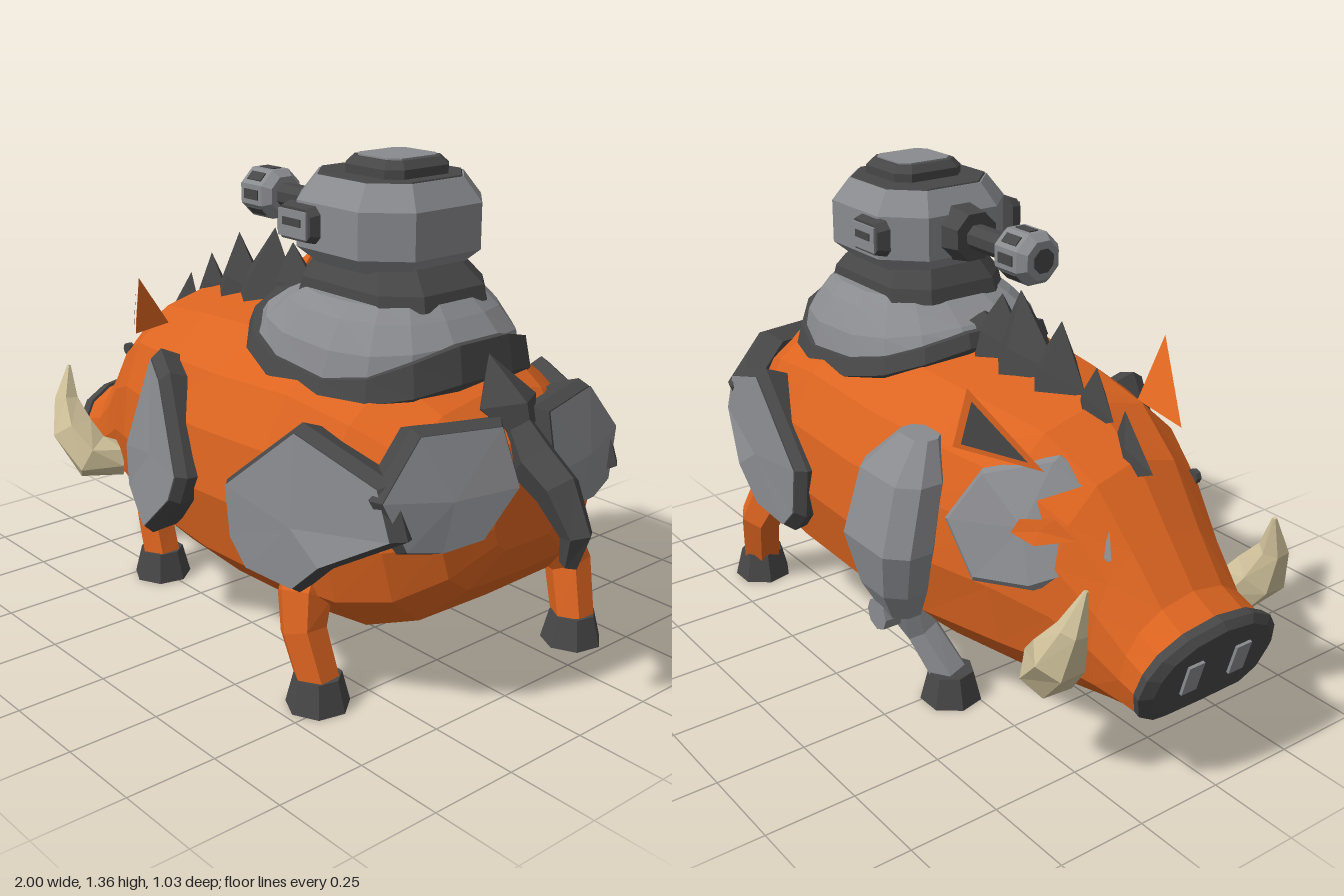
import * as THREE from 'three';
import { ConvexGeometry } from 'three/addons/geometries/ConvexGeometry.js';

const V = (x, y, z) => new THREE.Vector3(x, y, z);
const mat = (name, color) => {
  const m = new THREE.MeshStandardMaterial({ color, flatShading: true });
  m.name = name;
  return m;
};

// half cross-section of the body: [share of half width, share of height]
const HALF = [[0, 0], [0.65, 0.01], [0.9, 0.15], [1, 0.4], [0.95, 0.62], [0.8, 0.8], [0.48, 0.94], [0, 1]];
// body stations: x, bottom, top, half width, slant
const BODY = [
  [-0.9, 0.2, 0.46, 0.215, -0.06], [-0.84, 0.19, 0.5, 0.21, -0.04], [-0.76, 0.185, 0.62, 0.23, -0.02],
  [-0.66, 0.18, 0.77, 0.27, 0], [-0.5, 0.175, 0.87, 0.34, 0], [-0.26, 0.17, 0.9, 0.41, 0],
  [0, 0.17, 0.92, 0.45, 0], [0.3, 0.18, 0.94, 0.455, 0], [0.52, 0.2, 0.9, 0.43, 0],
  [0.67, 0.26, 0.82, 0.37, 0], [0.77, 0.36, 0.72, 0.27, 0], [0.8, 0.45, 0.62, 0.12, 0],
];

function bodyRing([x, b, t, w, slant]) {
  const at = ([u, h], s) => V(x + slant * h, b + (t - b) * h, s * u * w);
  return [...HALF.map(p => at(p, 1)), ...HALF.slice(1, -1).reverse().map(p => at(p, -1))];
}

// half width of the body at a given x and y
function widthAt(x, y) {
  let i = 0;
  while (i < BODY.length - 2 && BODY[i + 1][0] < x) i++;
  const k = (x - BODY[i][0]) / (BODY[i + 1][0] - BODY[i][0]);
  const [b, t, w] = [1, 2, 3].map(n => THREE.MathUtils.lerp(BODY[i][n], BODY[i + 1][n], k));
  const h = THREE.MathUtils.clamp((y - b) / (t - b), 0, 1);
  let j = 0;
  while (j < HALF.length - 2 && HALF[j + 1][1] < h) j++;
  const f = (h - HALF[j][1]) / (HALF[j + 1][1] - HALF[j][1]);
  return w * THREE.MathUtils.lerp(HALF[j][0], HALF[j + 1][0], f);
}

const centre = pts => pts.reduce((a, p) => a.add(p), V(0, 0, 0)).divideScalar(pts.length);

function fromTriangles(tris) {
  const g = new THREE.BufferGeometry().setFromPoints(tris.flat());
  g.computeVertexNormals();
  return g;
}

// closed skin over a list of rings, turned outward by its signed volume
function loft(rings) {
  const tris = [], n = rings[0].length;
  for (let i = 0; i < rings.length - 1; i++)
    for (let j = 0; j < n; j++) {
      const k = (j + 1) % n, a = rings[i], b = rings[i + 1];
      tris.push([a[j], a[k], b[k]], [a[j], b[k], b[j]]);
    }
  const first = rings[0], last = rings[rings.length - 1], c0 = centre(first), c1 = centre(last);
  for (let j = 0; j < n; j++) {
    const k = (j + 1) % n;
    tris.push([c0, first[k], first[j]], [c1, last[j], last[k]]);
  }
  const o = centre(rings.flat());
  const vol = tris.reduce((s, t) => {
    const [a, b, c] = t.map(p => p.clone().sub(o));
    return s + a.dot(b.cross(c));
  }, 0);
  return fromTriangles(vol < 0 ? tris.map(([a, b, c]) => [a, c, b]) : tris);
}

// one-sided polygon facing the direction out
function fan(pts, out, bulge = 0) {
  const c = centre(pts).addScaledVector(out, bulge);
  const tris = pts.map((p, i) => [c, p, pts[(i + 1) % pts.length]]);
  const normal = tris.reduce((s, [a, b, d]) => s.add(b.clone().sub(a).cross(d.clone().sub(a))), V(0, 0, 0));
  return fromTriangles(normal.dot(out) < 0 ? tris.map(([a, b, d]) => [a, d, b]) : tris);
}

// tapered tube through points [x, y, z, radius]
function limb(pts, sides = 6) {
  const P = pts.map(p => V(p[0], p[1], p[2]));
  return loft(P.map((p, i) => {
    const t = P[Math.min(i + 1, P.length - 1)].clone().sub(P[Math.max(i - 1, 0)]).normalize();
    const u = t.clone().cross(V(0, 0, 1)).normalize(), v = t.clone().cross(u);
    return Array.from({ length: sides }, (_, j) => {
      const a = (j + 0.5) / sides * Math.PI * 2;
      return p.clone().addScaledVector(u, Math.cos(a) * pts[i][3]).addScaledVector(v, Math.sin(a) * pts[i][3]);
    });
  }));
}

// rectangle with cut corners, lying flat
const octagon = (cx, y, hx, hz, c, cz = 0) =>
  [[hx, hz - c], [hx - c, hz], [c - hx, hz], [-hx, hz - c], [-hx, c - hz], [c - hx, -hz], [hx - c, -hz], [hx, c - hz]]
    .map(([x, z]) => V(cx + x, y, cz + z));

// saddle ring that droops at the sides and follows the back
const saddleRing = (cx, y, rx, rz, droop, lift = 0) => Array.from({ length: 16 }, (_, i) => {
  const a = (i + 0.5) / 16 * Math.PI * 2, q = n => Math.sign(n) * Math.abs(n) ** 0.8;
  const x = cx + rx * q(Math.cos(a)), z = rz * q(Math.sin(a));
  return V(x, y - droop * z * z - droop * 0.12 * (x - 0.28) + lift * Math.max(0, x - 0.45), z);
});

export function createModel() {
  const root = new THREE.Group();
  root.name = 'armouredBoar';
  const orange = mat('orangeHide', 0xdc6420), grey = mat('greyArmour', 0x8a8b8f);
  const dark = mat('darkMetal', 0x474747), ivory = mat('ivory', 0xcfc19a);
  const add = (name, geo, m, x = 0, y = 0, z = 0) => {
    const mesh = new THREE.Mesh(geo, m);
    mesh.name = name;
    mesh.position.set(x, y, z);
    root.add(mesh);
    return mesh;
  };
  // armour plate: dark rim with a grey face
  const plate = (name, pts, dir, thick = 0.028, bulge = 0, rim = dark) => {
    const out = dir.clone().normalize(), c = centre(pts);
    const inset = pts.map(p => p.clone().lerp(c, 0.09).addScaledVector(out, thick));
    add(name + 'Rim', loft([pts.map(p => p.clone().lerp(c, 0.08).addScaledVector(out, -0.07)), pts, inset]), rim);
    add(name + 'Face', fan(inset.map(p => p.clone().addScaledVector(out, 0.004)), out, bulge), grey);
  };

  // body and snout
  add('body', loft(BODY.map(bodyRing)), orange);
  add('snout', loft([[-0.89, 0.205, 0.47, 0.22, -0.07], [-0.915, 0.205, 0.465, 0.228, -0.07], [-0.935, 0.22, 0.445, 0.195, -0.065]].map(bodyRing)), dark);
  for (const s of [1, -1]) {
    add('nostril', new THREE.BoxGeometry(0.008, 0.09, 0.05), grey, -0.972, 0.33, s * 0.08).rotation.z = 0.27;

    // ears
    const [a, b, tip, back] = [[-0.58, 0.77, 0.23], [-0.38, 0.8, 0.36], [-0.4, 0.955, 0.33], [-0.42, 0.8, 0.22]].map(p => V(p[0], p[1], p[2] * s));
    add('ear', new ConvexGeometry([a, b, tip, back]), orange);
    const mid = centre([a, b, tip]), out = V(-0.5, 0.2, s).normalize();
    add('innerEar', fan([a, b, tip].map(p => p.clone().lerp(mid, 0.27).addScaledVector(out, 0.006)), out), dark);

    // tusks
    add('tusk', limb([[-0.66, 0.31, s * 0.24, 0.05], [-0.72, 0.32, s * 0.32, 0.075], [-0.79, 0.4, s * 0.345, 0.072],
      [-0.83, 0.49, s * 0.34, 0.04], [-0.845, 0.59, s * 0.315, 0.006]]), ivory);

    // hip and rump plates
    plate('hipPlate', [[0.18, 0.55, 0.46], [0.45, 0.77, 0.43], [0.72, 0.68, 0.38], [0.77, 0.55, 0.38], [0.57, 0.43, 0.45],
      [0.46, 0.33, 0.45], [0.27, 0.33, 0.46], [0.2, 0.4, 0.46]].map(p => V(p[0], p[1], p[2] * s)), V(0.12, 0.1, s), 0.028, 0.015);
    plate('rumpPlate', [[0.75, 0.78, 0.06], [0.69, 0.79, 0.3], [0.69, 0.64, 0.43], [0.72, 0.5, 0.37], [0.75, 0.48, 0.27],
      [0.79, 0.5, 0.16], [0.8, 0.62, 0.04]].map(p => V(p[0], p[1], p[2] * s)), V(1, 0.1, s * 0.3), 0.03, 0.015);
  }

  // shoulder plate on the left flank
  plate('shoulderPlate', [[-0.24, 0.79, 0.37], [-0.14, 0.75, 0.41], [0.03, 0.51, 0.48], [0, 0.43, 0.485], [-0.16, 0.29, 0.47],
    [-0.31, 0.37, 0.42], [-0.34, 0.49, 0.405]].map(p => V(...p)), V(-0.2, 0.1, 1));

  // eyes and the metal half of the face
  add('leftEye', new THREE.CylinderGeometry(0.02, 0.02, 0.016, 8), dark, -0.655, 0.665, widthAt(-0.655, 0.665) + 0.003).rotation.x = Math.PI / 2;
  const onFace = (x, y, off) => V(x, y, -widthAt(x, y) - off);
  const faceOut = V(-0.35, 0.3, -1);
  plate('facePlate', [[-0.36, 0.6], [-0.42, 0.74], [-0.56, 0.79], [-0.7, 0.69], [-0.77, 0.57], [-0.62, 0.48], [-0.46, 0.46]]
    .map(([x, y]) => onFace(x, y, 0.008)), faceOut, 0.02, 0.03, grey);
  add('rightEye', fan([[-0.7, 0.63], [-0.65, 0.675], [-0.58, 0.665], [-0.57, 0.63], [-0.63, 0.61]].map(([x, y]) => onFace(x, y, 0.05)), faceOut), orange);

  // bristles along the neck: base start, base end, base height, tip x, tip y, half width
  for (const [x0, x1, y, tx, ty, w] of [[-0.72, -0.56, 0.75, -0.61, 0.885, 0.035], [-0.57, -0.42, 0.84, -0.5, 0.965, 0.05],
    [-0.46, -0.24, 0.88, -0.36, 1.05, 0.085], [-0.36, -0.08, 0.9, -0.19, 1.09, 0.1], [-0.22, 0.02, 0.91, -0.11, 1.06, 0.09], [-0.12, 0.1, 0.91, -0.03, 0.99, 0.07]]) {
    const m = (x0 + x1) / 2;
    add('bristle', new ConvexGeometry([V(x0, y, 0), V(x1, y, 0), V(m, y - 0.03, w), V(m, y - 0.03, -w), V(m, y + 0.05, w * 0.7), V(m, y + 0.05, -w * 0.7), V(tx, ty, 0)]), dark);
  }

  // rump crest and tail
  add('rumpCrest', new ConvexGeometry([V(0.65, 0.905, 0), V(0.72, 0.8, 0.1), V(0.72, 0.8, -0.1), V(0.78, 0.81, 0), V(0.81, 0.69, 0), V(0.62, 0.75, 0)]), dark);
  add('tail', limb([[0.74, 0.76, 0, 0.04], [0.81, 0.67, 0, 0.065], [0.89, 0.62, 0, 0.06], [0.955, 0.52, 0, 0.042], [0.935, 0.44, 0, 0.025]], 5), dark);

  // legs and hooves
  const hoof = (x, z) => add('hoof', new THREE.CylinderGeometry(0.064, 0.086, 0.086, 7), dark, x, 0.043, z);
  const legs = {
    leftFrontLeg: [[-0.4, 0.32, 0.22, 0.07], [-0.44, 0.25, 0.24, 0.066], [-0.475, 0.18, 0.255, 0.06], [-0.445, 0.07, 0.255, 0.06]],
    leftHindLeg: [[0.37, 0.36, 0.32, 0.08], [0.4, 0.28, 0.385, 0.075], [0.42, 0.2, 0.405, 0.064], [0.465, 0.07, 0.395, 0.06]],
    rightHindLeg: [[0.55, 0.46, -0.27, 0.085], [0.58, 0.34, -0.33, 0.085], [0.61, 0.22, -0.395, 0.066], [0.655, 0.07, -0.375, 0.06]],
  };
  for (const [name, pts] of Object.entries(legs)) {
    add(name, limb(pts), orange);
    hoof(pts[3][0], pts[3][2]);
  }

  // mechanical right front leg
  add('metalShoulder', loft([[-0.22, 0.78, 0.06, 0.04, -0.35], [-0.2, 0.68, 0.13, 0.08, -0.39], [-0.2, 0.5, 0.145, 0.085, -0.435],
    [-0.2, 0.36, 0.1, 0.075, -0.42], [-0.2, 0.27, 0.055, 0.05, -0.4]].map(([x, y, hx, hz, z]) => octagon(x, y, hx, hz, hz * 0.6, z))), grey);
  add('metalKnee', new THREE.CylinderGeometry(0.045, 0.045, 0.13, 8), grey, -0.17, 0.26, -0.4).rotation.x = Math.PI / 2;
  add('metalShin', limb([[-0.18, 0.28, -0.39, 0.05], [-0.2, 0.19, -0.34, 0.05], [-0.27, 0.07, -0.3, 0.055]]), grey);
  hoof(-0.28, -0.3);

  // saddle
  add('saddleRim', loft([saddleRing(0.28, 0.86, 0.36, 0.32, 0.8), saddleRing(0.28, 0.885, 0.375, 0.335, 0.8),
    saddleRing(0.28, 0.925, 0.36, 0.32, 0.8, 0.28)]), dark);
  add('saddle', loft([saddleRing(0.28, 0.9, 0.345, 0.315, 0.8), saddleRing(0.29, 0.945, 0.325, 0.295, 0.4),
    saddleRing(0.3, 0.985, 0.27, 0.25, 0.1), saddleRing(0.31, 1.015, 0.225, 0.215, 0)]), grey);

  // turret
  add('turretNeck', loft([octagon(0.3, 1, 0.235, 0.19, 0.08), octagon(0.3, 1.04, 0.225, 0.185, 0.08), octagon(0.29, 1.095, 0.18, 0.15, 0.07)]), dark);
  add('turret', loft([octagon(0.285, 1.08, 0.17, 0.165, 0.08), octagon(0.285, 1.125, 0.217, 0.215, 0.1),
    octagon(0.285, 1.245, 0.217, 0.215, 0.1), octagon(0.285, 1.308, 0.175, 0.17, 0.08)]), grey);
  add('turretRoof', loft([octagon(0.285, 1.306, 0.173, 0.168, 0.08), octagon(0.285, 1.312, 0.17, 0.165, 0.08)]), dark);
  add('hatch', loft([octagon(0.31, 1.3, 0.108, 0.112, 0.035), octagon(0.31, 1.335, 0.108, 0.112, 0.035), octagon(0.31, 1.355, 0.09, 0.095, 0.03)]), dark);
  add('hatchLid', loft([octagon(0.31, 1.352, 0.08, 0.085, 0.025), octagon(0.31, 1.359, 0.08, 0.085, 0.025)]), grey);
  for (const s of [1, -1]) {
    const pod = add('sidePod', loft([octagon(0, 0, 0.075, 0.05, 0.02), octagon(0, 0.035, 0.065, 0.042, 0.018)]), dark, 0.19, 1.19, s * 0.208);
    pod.rotation.x = s * Math.PI / 2;
    add('podCover', new THREE.BoxGeometry(0.11, 0.07, 0.008), grey, 0.19, 1.19, s * 0.245);
    add('podSlot', new THREE.BoxGeometry(0.07, 0.02, 0.006), dark, 0.19, 1.195, s * 0.249);
  }

  // gun along x
  const tube = (name, r0, r1, x0, x1, m) => {
    const g = new THREE.CylinderGeometry(r0, r1, x1 - x0, 8);
    g.rotateY(Math.PI / 8).rotateZ(Math.PI / 2);
    return add(name, g, m, (x0 + x1) / 2, 1.19, 0);
  };
  tube('gunMount', 0.07, 0.085, 0.005, 0.1, dark);
  tube('barrel', 0.036, 0.036, -0.16, 0.05, dark);
  tube('muzzleTip', 0.055, 0.074, -0.28, -0.255, grey);
  tube('muzzle', 0.074, 0.074, -0.255, -0.165, grey);
  tube('muzzleBack', 0.074, 0.055, -0.165, -0.14, grey);
  tube('bore', 0.034, 0.034, -0.284, -0.278, dark);
  for (let i = 0; i < 8; i++) {
    const a = i / 8 * Math.PI * 2, r = 0.074 * Math.cos(Math.PI / 8);
    add('muzzleSlot', new THREE.BoxGeometry(0.06, 0.006, 0.028), dark, -0.21, 1.19 + Math.cos(a) * r, Math.sin(a) * r).rotation.x = a;
  }
  return root;
}
